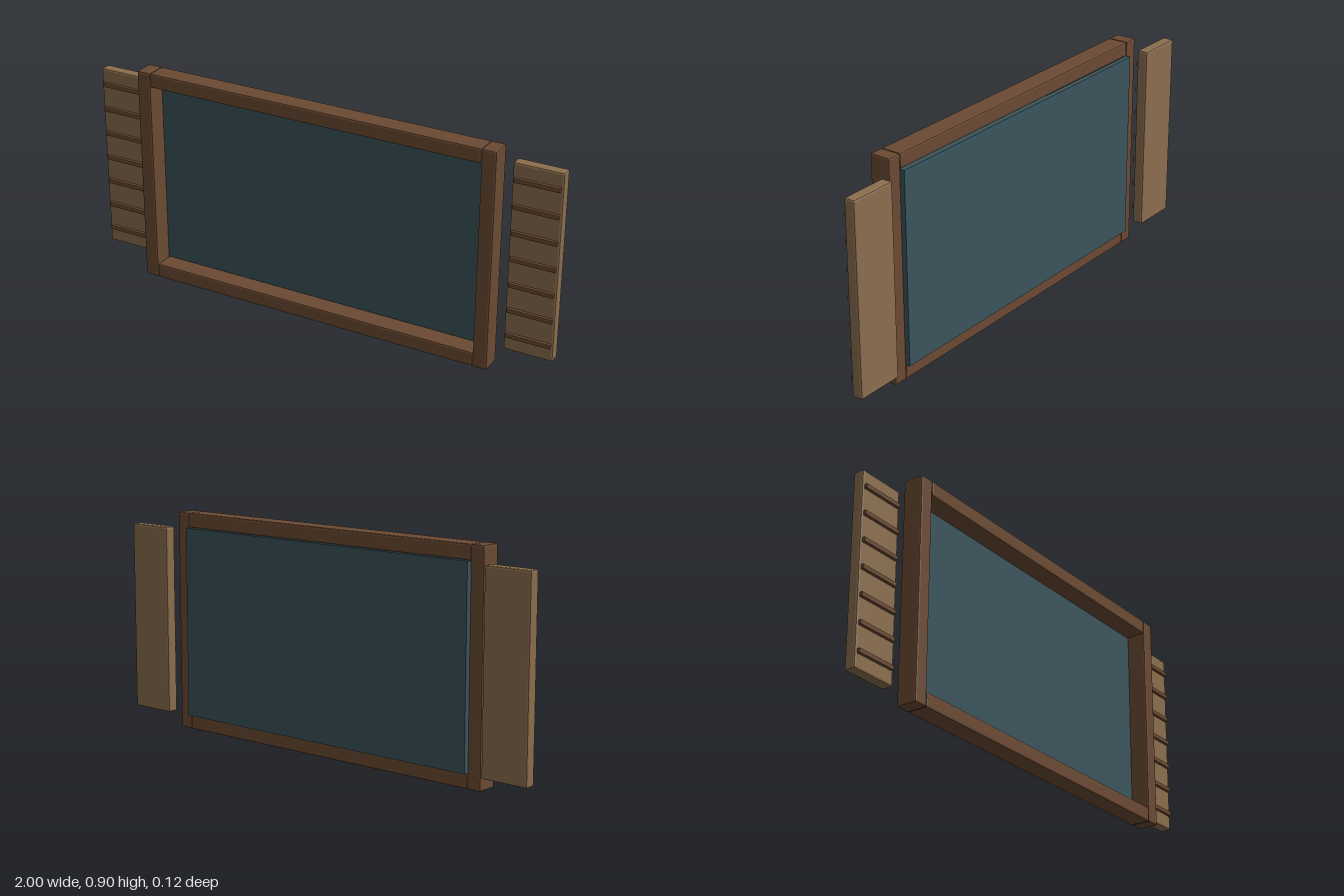
import * as THREE from 'three';
import { RoundedBoxGeometry } from 'three/addons/geometries/RoundedBoxGeometry.js';

const material = (color) => new THREE.MeshStandardMaterial({ color, flatShading: true });

// Box given by its limits on each axis, with an optional chamfer
function block(name, mat, [x0, x1], [y0, y1], [z0, z1], chamfer = 0) {
  const size = [x1 - x0, y1 - y0, z1 - z0];
  const geometry = chamfer
    ? new RoundedBoxGeometry(...size, 1, chamfer)
    : new THREE.BoxGeometry(...size);
  const mesh = new THREE.Mesh(geometry, mat);
  mesh.name = name;
  mesh.position.set((x0 + x1) / 2, (y0 + y1) / 2, (z0 + z1) / 2);
  return mesh;
}

export function createModel() {
  const model = new THREE.Group();
  model.name = 'shutteredWindow';
  const frameWood = material(0x6b4a33);
  const shutterWood = material(0x8b6e4e);
  const glass = material(0x3a535c);

  // Frame: two rails between two full-height posts
  const frame = new THREE.Group();
  frame.name = 'frame';
  const depth = [-0.022, 0.063];
  const height = 0.9, bar = 0.06, inner = 0.71, outer = 0.77;
  frame.add(
    block('bottomRail', frameWood, [-inner, inner], [0, bar], depth, 0.007),
    block('topRail', frameWood, [-inner, inner], [height - bar, height], depth, 0.007),
    block('leftPost', frameWood, [inner, outer], [0, height], depth, 0.007),
    block('rightPost', frameWood, [-outer, -inner], [0, height], depth, 0.007)
  );
  model.add(frame);

  // Pane set at the back of the frame
  model.add(block('glassPane', glass, [-inner, inner], [bar, height - bar], [-0.039, -0.017]));

  // Shutters with seven raised slats, one on each side
  for (const side of [1, -1]) {
    const shutter = new THREE.Group();
    shutter.name = side > 0 ? 'leftShutter' : 'rightShutter';
    shutter.position.x = side * 0.9;
    shutter.add(block('shutterPanel', shutterWood, [-0.1, 0.1], [0.063, 0.838], [-0.062, -0.016], 0.008));
    for (let i = 0; i < 7; i++) {
      const y = 0.13 + i * 0.107;
      shutter.add(block('slat', frameWood, [-0.09, 0.09], [y - 0.009, y + 0.009], [-0.02, -0.004], 0.002));
    }
    model.add(shutter);
  }
  return model;
}
